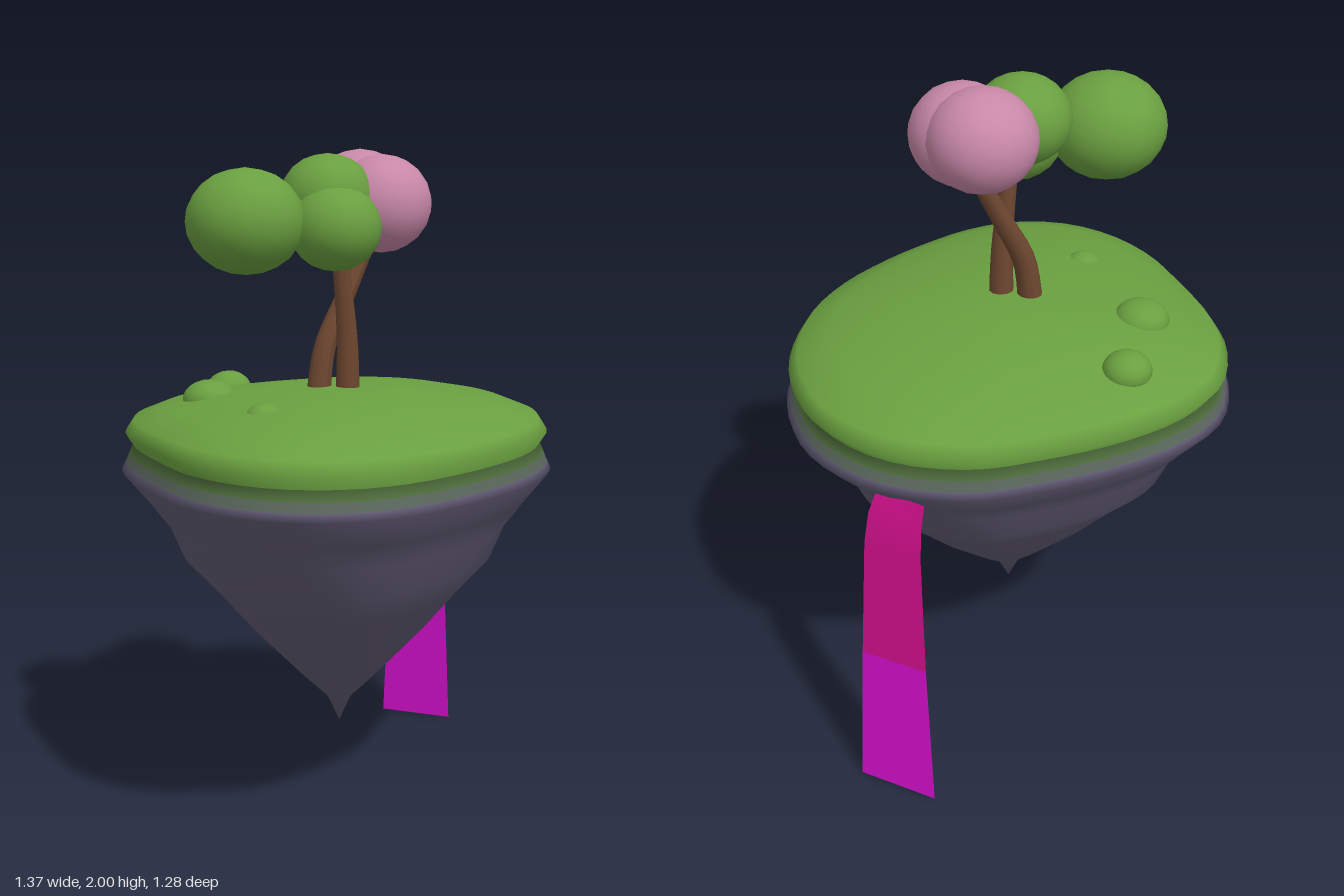
import * as THREE from 'three';

const mat = (name, color, side = THREE.FrontSide) => {
  const m = new THREE.MeshStandardMaterial({ color, side });
  m.name = name;
  return m;
};

// Shoreline of the island, as x, z pairs going round
const OUTLINE = [
  [-0.13, -0.643], [0.03, -0.635], [0.2, -0.605], [0.37, -0.56], [0.5, -0.48], [0.595, -0.38],
  [0.655, -0.26], [0.683, -0.12], [0.672, 0], [0.637, 0.13], [0.575, 0.25], [0.46, 0.39],
  [0.3, 0.5], [0.1, 0.578], [-0.08, 0.62], [-0.24, 0.638], [-0.41, 0.61], [-0.56, 0.51],
  [-0.65, 0.36], [-0.685, 0.17], [-0.664, -0.04], [-0.62, -0.27], [-0.56, -0.41], [-0.43, -0.56], [-0.28, -0.625],
];
const CX = -0.033, CZ = -0.01;

// Rings from the summit to the tip: scale, height, material index
const PROFILE = [
  [0, 1.308, 0], [0.3, 1.301, 0], [0.57, 1.276, 0], [0.8, 1.243, 0], [0.94, 1.205, 0], [0.98, 1.165, 0],
  [0.945, 1.13, 1], [0.965, 1.1, 2], [0.982, 1.073, 3], [1, 1.05, 3], [0.885, 0.96, 3], [0.79, 0.88, 3],
  [0.725, 0.78, 3], [0.58, 0.68, 3], [0.42, 0.56, 3], [0.27, 0.46, 3], [0.17, 0.395, 3],
  [0.055, 0.325, 3], [0, 0.245, 3],
];

// Closed loft of scaled outlines, one material group per band
function islandGeometry() {
  const n = 60;
  const curve = new THREE.CatmullRomCurve3(OUTLINE.map(([x, z]) => new THREE.Vector3(x, 0, z)), true);
  const loop = curve.getSpacedPoints(n).slice(0, n);
  const pos = [], index = [], start = [];
  for (const [s, y] of PROFILE) {
    start.push(pos.length / 3);
    if (s === 0) pos.push(CX, y, CZ);
    else for (const p of loop) pos.push(CX + (p.x - CX) * s, y, CZ + (p.z - CZ) * s);
  }
  const geo = new THREE.BufferGeometry();
  for (let r = 0; r < PROFILE.length - 1; r++) {
    const first = index.length;
    const upper = PROFILE[r][0] > 0, lower = PROFILE[r + 1][0] > 0;
    for (let i = 0; i < n; i++) {
      const j = (i + 1) % n;
      const a = start[r] + (upper ? i : 0), b = start[r] + (upper ? j : 0);
      const c = start[r + 1] + (lower ? i : 0), d = start[r + 1] + (lower ? j : 0);
      if (upper) index.push(a, b, c);
      if (lower) index.push(b, d, c);
    }
    geo.addGroup(first, index.length - first, PROFILE[r][2]);
  }
  geo.setAttribute('position', new THREE.Float32BufferAttribute(pos, 3));
  geo.setIndex(index);
  geo.computeVertexNormals();
  return geo;
}

// Tube along a curve, narrowing from radius r0 to r1
function taperedTube(points, r0, r1) {
  const seg = 12, sides = 10;
  const curve = new THREE.CatmullRomCurve3(points.map((p) => new THREE.Vector3(...p)));
  const geo = new THREE.TubeGeometry(curve, seg, 1, sides);
  const pos = geo.attributes.position, v = new THREE.Vector3();
  for (let i = 0; i < pos.count; i++) {
    const t = Math.floor(i / (sides + 1)) / seg;
    const c = curve.getPointAt(t);
    v.fromBufferAttribute(pos, i).sub(c).multiplyScalar(r0 + (r1 - r0) * t).add(c);
    pos.setXYZ(i, v.x, v.y, v.z);
  }
  geo.computeVertexNormals();
  return geo;
}

// Strip between two edges; each row is ax, az, bx, bz, y
function ribbon(rows) {
  const pos = [], index = [];
  rows.forEach(([ax, az, bx, bz, y], i) => {
    pos.push(ax, y, az, bx, y, bz);
    const k = i * 2;
    if (i) index.push(k - 2, k - 1, k, k - 1, k + 1, k);
  });
  const geo = new THREE.BufferGeometry();
  geo.setAttribute('position', new THREE.Float32BufferAttribute(pos, 3));
  // Reversed so the front faces away from the island
  geo.setIndex(index.reverse());
  geo.computeVertexNormals();
  return geo;
}

export function createModel() {
  const grass = mat('grass green', 0x6aa040);
  const moss = mat('dark moss', 0x4f6e3c);
  const mossRock = mat('mossy rock', 0x58655a);
  const rock = mat('purple rock', 0x625c75);
  const bark = mat('bark brown', 0x6e4730);
  const blossom = mat('blossom pink', 0xc888a8);
  const waterTop = mat('upper fall magenta', 0xd4108e, THREE.DoubleSide);
  const waterLow = mat('lower fall magenta', 0xd410cc, THREE.DoubleSide);

  const model = new THREE.Group();
  model.name = 'floatingIsland';
  const add = (name, geo, material, parent = model) => {
    const mesh = new THREE.Mesh(geo, material);
    mesh.name = name;
    parent.add(mesh);
    return mesh;
  };
  const ball = new THREE.IcosahedronGeometry(1, 3);
  const blob = (name, material, parent, [x, y, z, rx, ry, rz]) => {
    const m = add(name, ball, material, parent);
    m.position.set(x, y, z);
    m.scale.set(rx, ry, rz);
  };

  add('island', islandGeometry(), [grass, moss, mossRock, rock]);

  // Green tree
  const greenTree = new THREE.Group();
  greenTree.name = 'greenTree';
  model.add(greenTree);
  add('greenTreeTrunk', taperedTube([[-0.028, 1.27, 0.03], [-0.032, 1.45, 0.032], [-0.06, 1.7, 0.035]], 0.038, 0.024), bark, greenTree);
  [
    [-0.328, 1.795, -0.05, 0.173, 0.152, 0.172],
    [-0.062, 1.86, -0.025, 0.14, 0.127, 0.142],
    [-0.09, 1.775, 0.055, 0.135, 0.125, 0.137],
  ].forEach((b) => blob('greenFoliage', grass, greenTree, b));

  // Blossom tree
  const blossomTree = new THREE.Group();
  blossomTree.name = 'blossomTree';
  model.add(blossomTree);
  add('blossomTreeTrunk', taperedTube([[-0.095, 1.27, -0.03], [-0.07, 1.42, -0.03], [0, 1.56, -0.03], [0.09, 1.73, -0.03]], 0.038, 0.024), bark, blossomTree);
  [
    [0.11, 1.84, 0.005, 0.15, 0.145, 0.152],
    [0.1, 1.855, -0.09, 0.156, 0.145, 0.155],
  ].forEach((b) => blob('blossomFoliage', blossom, blossomTree, b));

  // Low bushes
  [
    [-0.15, 1.25, -0.462, 0.072, 0.058, 0.07],
    [-0.336, 1.258, -0.257, 0.083, 0.06, 0.083],
    [-0.375, 1.245, 0.12, 0.06, 0.053, 0.06],
  ].forEach((b) => blob('bush', grass, model, b));

  // Waterfall in two bands
  const middle = [0.53, -0.515, 0.648, -0.345, 0.475];
  add('upperWaterfall', ribbon([
    [0.5, -0.478, 0.575, -0.343, 1.03],
    [0.515, -0.485, 0.605, -0.343, 0.96],
    [0.525, -0.495, 0.622, -0.344, 0.865],
    middle,
  ]), waterTop);
  add('lowerWaterfall', ribbon([middle, [0.533, -0.552, 0.675, -0.348, 0]]), waterLow);

  return model;
}
